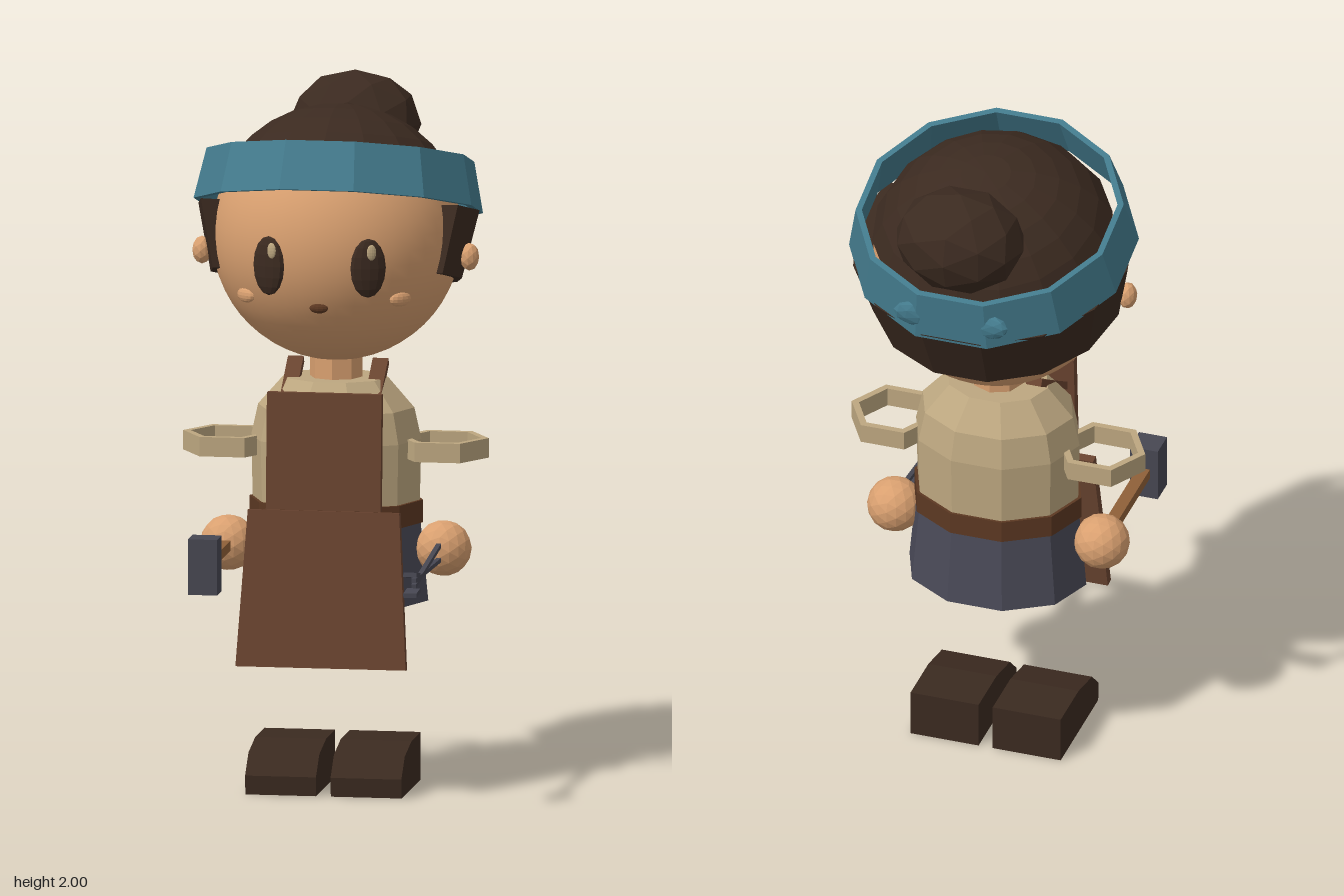
import * as THREE from 'three';

const paint = (name, color) => {
  const m = new THREE.MeshStandardMaterial({ color, flatShading: true });
  m.name = name;
  return m;
};

export function createModel() {
  const root = new THREE.Group();
  root.name = 'smithFigure';
  const skin = paint('skin', 0xd9a070);
  const hair = paint('dark brown', 0x3b2a20);
  const teal = paint('teal', 0x437a8c);
  const shirt = paint('linen', 0xbda780);
  const leather = paint('leather', 0x6a4430);
  const beltMat = paint('belt brown', 0x5c3822);
  const skirt = paint('slate', 0x4a4a58);
  const wood = paint('wood', 0x8f6038);
  const metal = paint('metal', 0x474752);
  const smoothSkin = skin.clone();
  smoothSkin.flatShading = false;
  smoothSkin.name = 'smooth skin';
  hair.side = teal.side = THREE.DoubleSide;

  const add = (name, geo, mat, x = 0, y = 0, z = 0, parent = root) => {
    const m = new THREE.Mesh(geo, mat);
    m.name = name;
    m.position.set(x, y, z);
    parent.add(m);
    return m;
  };
  const vec = (pts) => pts.map(([x, y]) => new THREE.Vector2(x, y));
  const lathe = (pts, seg, start = 0, len = Math.PI * 2) => new THREE.LatheGeometry(vec(pts), seg, start, len);
  const box = (w, h, d) => new THREE.BoxGeometry(w, h, d);
  const ball = (r, d = 1) => new THREE.IcosahedronGeometry(r, d);
  // bar of square section between two points in a plane of constant x
  const bar = (name, mat, w, t, x, [z0, y0], [z1, y1]) => {
    const m = add(name, box(w, t, Math.hypot(z1 - z0, y1 - y0)), mat, x, (y0 + y1) / 2, (z0 + z1) / 2);
    m.rotation.x = -Math.atan2(y1 - y0, z1 - z0);
    return m;
  };
  const deg = Math.PI / 180;
  const tilt = -15.5 * deg;

  // Head
  const HY = 1.58, HZ = -0.06, R = 0.356;
  add('head', new THREE.SphereGeometry(R, 40, 28), smoothSkin, 0, HY, HZ);
  const onFace = (name, mat, x, y, sx, sy, sz, lift = 0) => {
    const z = Math.sqrt(R * R - x * x - (y - HY) ** 2) + lift;
    const m = add(name, new THREE.SphereGeometry(1, 12, 8), mat, x, y, HZ + z);
    m.scale.set(sx, sy, sz);
    m.rotation.y = Math.atan2(x, z);
    return m;
  };
  for (const s of [1, -1]) {
    onFace('eye', hair, s * 0.143, 1.54, 0.052, 0.085, 0.02);
    onFace('eyeGlint', shirt, s * 0.143 + 0.012, 1.587, 0.014, 0.023, 0.006, 0.017);
    onFace('cheek', skin, s * 0.222, 1.44, 0.036, 0.022, 0.015);
    const ear = add('ear', ball(0.04), skin, s * 0.385, 1.53, -0.04);
    ear.scale.set(0.7, 1, 0.8);
  }
  onFace('mouth', beltMat, 0, 1.42, 0.027, 0.015, 0.012);

  // Hair cap, back hair and bun
  const cap = add('hairCap', new THREE.SphereGeometry(0.374, 16, 6, 0, Math.PI * 2, 0, 67 * deg), hair, 0, HY, HZ);
  cap.rotation.x = tilt;
  const hairGroup = new THREE.Group();
  hairGroup.name = 'backHair';
  hairGroup.position.set(0, 1.468, -0.042);
  hairGroup.rotation.x = tilt + 0.03;
  root.add(hairGroup);
  const lock = [[0.3, 0], [0.362, 0], [0.405, 0.195], [0.34, 0.195], [0.3, 0]];
  add('hairBand', lathe(lock, 9, 66 * deg, 228 * deg), hair, 0, 0, 0, hairGroup);
  for (const a of [66, 294]) {
    add('hairEnd', new THREE.ShapeGeometry(new THREE.Shape(vec(lock))), hair, 0, 0, 0, hairGroup).rotation.y = (a - 90) * deg;
  }
  const bun = add('bun', ball(1), hair, 0, 1.85, -0.387);
  bun.scale.set(0.19, 0.152, 0.156);
  const tie = add('bunTie', new THREE.TorusGeometry(0.11, 0.022, 6, 12), teal, 0, 1.845, -0.29);
  tie.rotation.x = -40 * deg;

  // Headband, a tilted twelve sided ring
  const band = add('headband', lathe([[0.414, 0], [0.383, 0.145], [0.365, 0.145], [0.395, 0], [0.414, 0]], 12, 15 * deg), teal, 0, 1.66, -0.085);
  band.rotation.x = tilt;
  for (const s of [1, -1]) {
    const bow = add('bowLoop', ball(1), teal, s * 0.1, 1.62, -0.455);
    bow.scale.set(0.075, 0.04, 0.022);
    bow.rotation.set(0, s * 0.25, s * 0.2);
  }

  // Body
  add('neck', new THREE.CylinderGeometry(0.075, 0.075, 0.12, 8), skin, 0, 1.2, -0.05);
  const around = (name, pts, mat) => {
    const m = add(name, lathe(pts, 10, 18 * deg), mat, 0, 0, -0.05);
    m.scale.z = 0.83;
  };
  around('torso', [[0.24, 0.8], [0.245, 1.0], [0.225, 1.09], [0.15, 1.175], [0, 1.175]], shirt);
  around('belt', [[0, 0.76], [0.25, 0.76], [0.25, 0.825], [0, 0.825]], beltMat);
  around('skirt', [[0, 0.535], [0.265, 0.535], [0.242, 0.77]], skirt);

  // Apron
  const panel = (name, top, bottom, h, y, z, lean) => {
    const shape = new THREE.Shape(vec([[-bottom, -h], [bottom, -h], [top, 0], [-top, 0]]));
    const m = add(name, new THREE.ExtrudeGeometry(shape, { depth: 0.028, bevelEnabled: false }), leather, 0, y, z);
    m.rotation.x = lean;
  };
  panel('apronBib', 0.165, 0.165, 0.335, 1.157, 0.135, -0.06);
  panel('apronSkirt', 0.218, 0.245, 0.447, 0.818, 0.148, -0.12);

  for (const s of [1, -1]) {
    bar('apronStrap', leather, 0.045, 0.022, s * 0.122, [0.15, 1.06], [-0.09, 1.215]);

    // Open six sided sleeve and hand
    add('sleeve', lathe([[0.13, -0.028], [0.13, 0.028], [0.108, 0.028], [0.108, -0.028], [0.13, -0.028]], 6, 30 * deg),
      shirt, s * 0.31, 0.98, -0.045);
    add('hand', ball(0.08, 2), skin, s * 0.31, 0.688, -0.045);

    // Shoe, a side profile extruded across
    const side = new THREE.Shape(vec([[-0.16, 0], [0.175, 0], [0.18, 0.055], [0.12, 0.112], [0, 0.137], [-0.16, 0.137]]));
    const shoe = add('shoe', new THREE.ExtrudeGeometry(side, { depth: 0.204, bevelEnabled: false }), hair, s * 0.123 + 0.102, 0, 0);
    shoe.rotation.y = -Math.PI / 2;
    shoe.position.x -= 0;
  }

  // Hammer
  add('hammerHandle', box(0.036, 0.03, 0.4), wood, -0.31, 0.69, 0.14);
  add('hammerHead', box(0.084, 0.16, 0.082), metal, -0.31, 0.69, 0.37);

  // Tongs
  for (const s of [1, -1]) {
    bar('tongArm', metal, 0.014, 0.012, 0.308, [-0.02, 0.688 + s * 0.024], [0.47, 0.67 - s * 0.008]);
    bar('tongJaw', metal, 0.038, 0.013, 0.308, [0.47, 0.672 + s * 0.022], [0.538, 0.672 + s * 0.03 + 0.004]);
  }
  return root;
}
